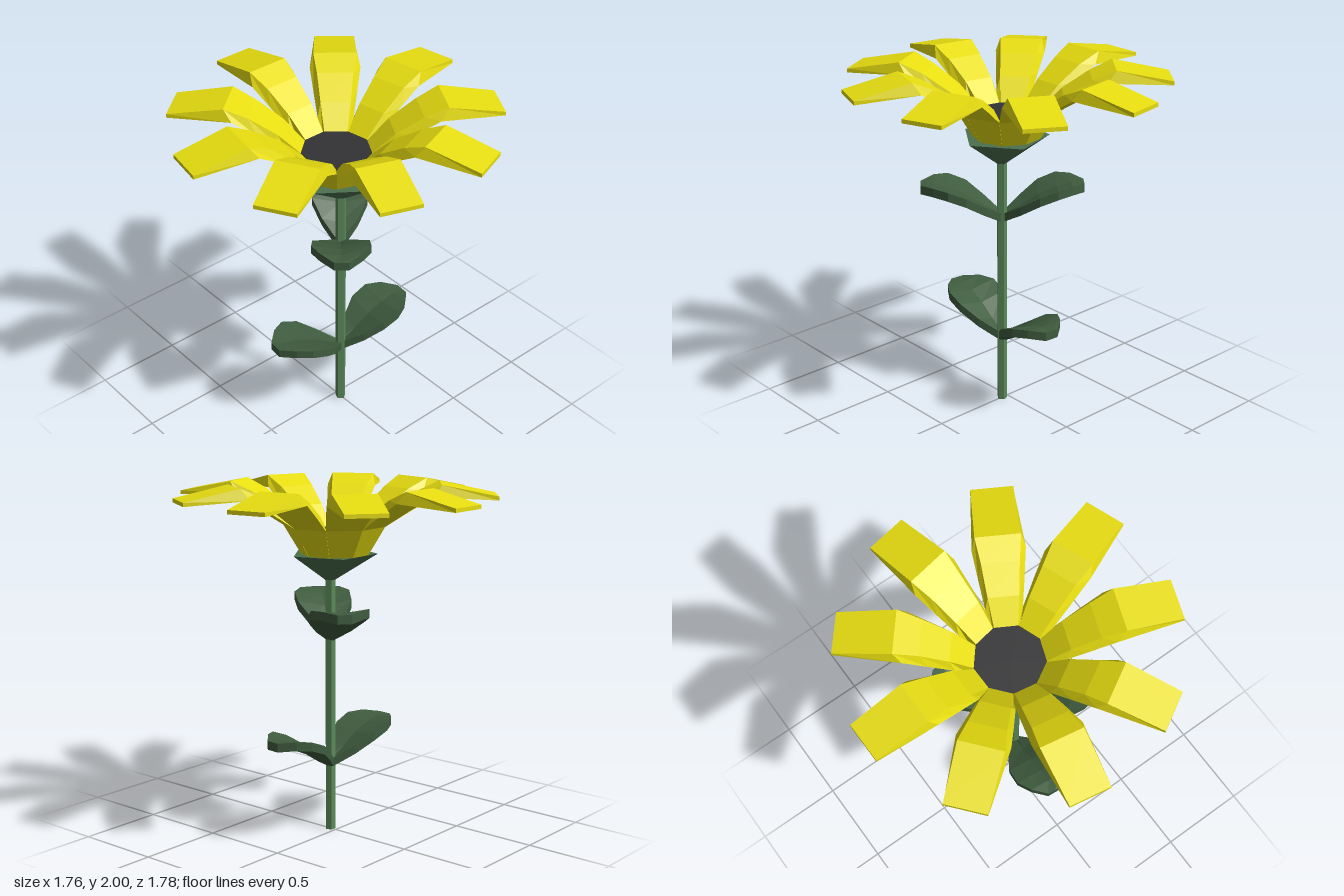
import * as THREE from 'three';

const mat = (name, color) => {
  const m = new THREE.MeshStandardMaterial({ color, flatShading: true });
  m.name = name;
  return m;
};

// Skins a row of equal-sized rings (each a list of [x, y, z]) and caps both ends.
function loft(rings) {
  const pos = [];
  const tri = (...pts) => pts.forEach((p) => pos.push(...p));
  const n = rings[0].length;
  for (let k = 0; k < rings.length - 1; k++) {
    for (let i = 0; i < n; i++) {
      const j = (i + 1) % n;
      const [a, b, c, d] = [rings[k][i], rings[k][j], rings[k + 1][i], rings[k + 1][j]];
      tri(a, c, b);
      tri(b, c, d);
    }
  }
  const first = rings[0], last = rings[rings.length - 1];
  for (let i = 1; i < n - 1; i++) {
    tri(first[0], first[i], first[i + 1]);
    tri(last[0], last[i + 1], last[i]);
  }
  const g = new THREE.BufferGeometry();
  g.setAttribute('position', new THREE.Float32BufferAttribute(pos, 3));
  g.computeVertexNormals();
  return g;
}

// Petal pointing along +x: underside and upper side as [radius, height, half width].
function petalGeometry() {
  const under = [[0.18, 1.61, 0.065], [0.27, 1.77, 0.098], [0.4, 1.855, 0.12], [0.53, 1.935, 0.14], [0.885, 1.915, 0.113]];
  const over = [[0.165, 1.72, 0.06], [0.3, 1.85, 0.082], [0.45, 1.945, 0.1], [0.575, 2.0, 0.12], [0.885, 1.937, 0.113]];
  return loft(under.map(([ur, uy, uw], i) => {
    const [r, y, w] = over[i];
    return [[ur, uy, -uw], [ur, uy, uw], [r, y, w], [r, y, -w]];
  }));
}

// Leaf growing along +x with a shallow fold: [reach, height, half width, edge lift].
function leafGeometry() {
  const stations = [
    [0, 0, 0.02, 0.01], [0.1, 0.055, 0.1, 0.025], [0.2, 0.12, 0.155, 0.03],
    [0.3, 0.165, 0.16, 0.025], [0.38, 0.187, 0.115, 0.012], [0.45, 0.19, 0.04, 0],
  ];
  const t = 0.05;
  return loft(stations.map(([x, y, w, e]) => [
    [x, y, 0], [x, y + e, w], [x, y + e + t, w],
    [x, y + t, 0], [x, y + e + t, -w], [x, y + e, -w],
  ]));
}

export function createModel() {
  const yellow = mat('petal yellow', 0xe8de10);
  const dark = mat('seed charcoal', 0x333335);
  const stemGreen = mat('stem green', 0x5a8858);
  const calyxGreen = mat('calyx green', 0x4d704f);
  const leafGreen = mat('leaf green', 0x3f5c3f);

  const model = new THREE.Group();
  model.name = 'flower';
  const add = (name, geometry, material) => {
    const m = new THREE.Mesh(geometry, material);
    m.name = name;
    model.add(m);
    return m;
  };
  const STEM_X = 0.04;

  // Five-sided stem
  add('stem', new THREE.CylinderGeometry(0.03, 0.03, 1.48, 5).rotateY(Math.PI / 2).translate(STEM_X, 0.74, 0), stemGreen);

  // Five-sided calyx, leaning from the stem towards the flower's centre
  const calyx = new THREE.CylinderGeometry(0.25, 0.03, 0.15, 5).rotateY(Math.PI / 2);
  const p = calyx.attributes.position;
  for (let i = 0; i < p.count; i++) p.setX(i, p.getX(i) + (p.getY(i) > 0 ? 0.02 : STEM_X));
  add('calyx', calyx.translate(0, 1.535, 0), calyxGreen);

  // Two opposite pairs of leaves
  const leaf = leafGeometry();
  for (const [name, y, angle] of [['lowerLeaf', 0.37, 85], ['upperLeaf', 1.105, -40]]) {
    for (const turn of [0, 180]) {
      const m = add(name, leaf, leafGreen);
      m.position.set(STEM_X - 0.005, y, 0);
      m.rotation.y = THREE.MathUtils.degToRad(angle + turn);
    }
  }

  // Ring of nine petals
  const petal = petalGeometry();
  for (let i = 0; i < 9; i++) {
    add('petal', petal, yellow).rotation.y = Math.PI + (i * Math.PI * 2) / 9;
  }

  // Nine-sided seed disc
  add('seedDisc', new THREE.CylinderGeometry(0.192, 0.18, 0.02, 9).rotateY(Math.PI / 2).translate(0, 1.727, 0), dark);

  return model;
}
